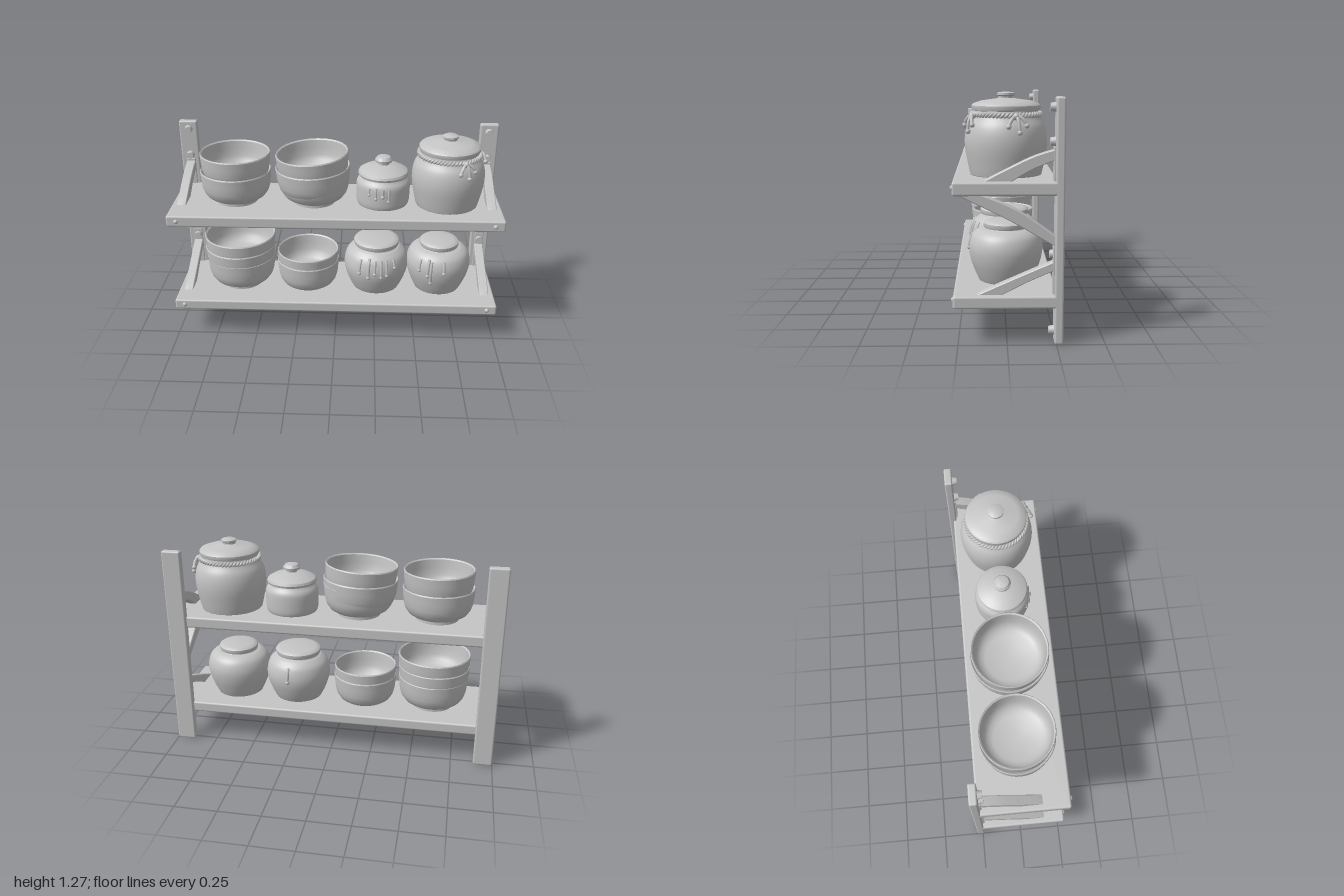
import * as THREE from 'three';
import { toCreasedNormals } from 'three/addons/utils/BufferGeometryUtils.js';
import { RoundedBoxGeometry } from 'three/addons/geometries/RoundedBoxGeometry.js';

const clay = new THREE.MeshStandardMaterial({ color: 0xc4c4c4 });
clay.name = 'plain grey';
const V2 = (p) => new THREE.Vector2(p[0], p[1]);

function add(parent, name, geometry, x = 0, y = 0, z = 0) {
  const mesh = new THREE.Mesh(geometry, clay);
  mesh.name = name;
  mesh.position.set(x, y, z);
  parent.add(mesh);
  return mesh;
}

function lathe(points, segments = 56) {
  return toCreasedNormals(new THREE.LatheGeometry(points.map(V2), segments), 0.6);
}

function box(w, h, d, r) {
  return new RoundedBoxGeometry(w, h, d, 3, r);
}

// Open bowl with a foot ring; the origin is under the foot
const bowlGeometry = lathe([
  [0, 0.01], [0.115, 0.01], [0.118, 0], [0.13, 0], [0.13, 0.022], [0.155, 0.03], [0.178, 0.045],
  [0.197, 0.072], [0.207, 0.105], [0.212, 0.15], [0.216, 0.198], [0.212, 0.205], [0.204, 0.198],
  [0.2, 0.15], [0.194, 0.105], [0.183, 0.075], [0.162, 0.053], [0.135, 0.042], [0, 0.04],
]);

// Bowls nested in one another: each entry is [lift, scale, tilt]
function bowlStack(parent, name, x, y, bowls) {
  const stack = new THREE.Group();
  stack.name = name;
  stack.position.set(x, y, 0);
  bowls.forEach(([lift, scale, tilt]) => {
    const bowl = add(stack, 'bowl', bowlGeometry, 0, lift, 0);
    bowl.scale.set(scale, 1, scale);
    bowl.rotation.z = tilt;
    bowl.rotation.x = tilt * 0.4;
  });
  parent.add(stack);
}

// Radius of a profile at a given height
function radiusAt(profile, y) {
  for (let i = 1; i < profile.length; i++) {
    const a = profile[i - 1], b = profile[i];
    if (y <= b.y) return a.x + (b.x - a.x) * (y - a.y) / Math.max(b.y - a.y, 1e-4);
  }
  return profile[profile.length - 1].x;
}

// Jar: smooth body, lid profile, and glaze drips [angle, top, bottom, radius]
function jar(parent, name, x, y, bodyPoints, lidPoints, drips = []) {
  const group = new THREE.Group();
  group.name = name;
  group.position.set(x, y, 0);
  const profile = new THREE.SplineCurve(bodyPoints.map(V2)).getPoints(28);
  add(group, 'jarBody', new THREE.LatheGeometry([new THREE.Vector2(0, 0), ...profile], 56));
  add(group, 'jarLid', lathe(lidPoints));
  drips.forEach(([angle, top, bottom, r]) => {
    const path = [];
    for (let i = 0; i <= 4; i++) {
      const h = top + (bottom - top) * i / 4, d = radiusAt(profile, h);
      path.push(new THREE.Vector3(d * Math.sin(angle), h, d * Math.cos(angle)));
    }
    add(group, 'glazeDrip', new THREE.TubeGeometry(new THREE.CatmullRomCurve3(path), 10, r * 0.8, 8));
    const end = path[4];
    add(group, 'glazeDrop', new THREE.SphereGeometry(r * 1.15, 12, 8), end.x, end.y, end.z);
  });
  parent.add(group);
  return group;
}

// Two twisted strands around the neck, with hanging knots
function ropeCollar(group, radius, y, knots) {
  for (const phase of [0, Math.PI]) {
    const points = [];
    for (let i = 0; i < 280; i++) {
      const a = i / 280 * Math.PI * 2, t = a * 28 + phase, r = radius + 0.007 * Math.cos(t);
      points.push(new THREE.Vector3(r * Math.sin(a), y + 0.007 * Math.sin(t), r * Math.cos(a)));
    }
    const curve = new THREE.CatmullRomCurve3(points, true);
    add(group, 'ropeStrand', new THREE.TubeGeometry(curve, 560, 0.0085, 6, true));
  }
  knots.forEach((angle) => {
    const knot = new THREE.Group();
    knot.name = 'ropeKnot';
    knot.rotation.y = angle;
    add(knot, 'knotBall', new THREE.SphereGeometry(0.018, 14, 10), 0, y - 0.006, radius + 0.012);
    for (const [sx, drop, out] of [[-0.045, 0.055, 0.035], [0.012, 0.085, 0.042], [0.05, 0.05, 0.035]]) {
      const curve = new THREE.QuadraticBezierCurve3(
        new THREE.Vector3(0, y, radius + 0.01),
        new THREE.Vector3(sx * 0.7, y - drop * 0.2, radius + out),
        new THREE.Vector3(sx, y - drop, radius + out));
      add(knot, 'ropeTail', new THREE.TubeGeometry(curve, 12, 0.009, 8));
      add(knot, 'ropeTip', new THREE.SphereGeometry(0.014, 10, 8), sx, y - drop, radius + out);
    }
    group.add(knot);
  });
}

// Curved strap in the side plane: two edges of three [z, y] points each
function strapGeometry(upper, lower, width) {
  const top = new THREE.SplineCurve(upper.map(V2)).getPoints(12);
  const bottom = new THREE.SplineCurve(lower.map(V2)).getPoints(12).reverse();
  const geometry = new THREE.ExtrudeGeometry(new THREE.Shape([...top, ...bottom]), {
    depth: width, bevelEnabled: true, bevelSize: 0.004, bevelThickness: 0.004, bevelSegments: 1,
  });
  geometry.translate(0, 0, -width / 2);
  geometry.rotateY(-Math.PI / 2);
  return toCreasedNormals(geometry, 0.5);
}

export function createModel() {
  const model = new THREE.Group();
  model.name = 'wallShelf';

  // Shelf boards
  add(model, 'lowerShelf', box(2, 0.066, 0.535, 0.012), 0, 0.222, 0.0075);
  add(model, 'upperShelf', box(2, 0.07, 0.535, 0.012), 0, 0.8, 0.0075);

  // Posts, braces and bolts on both sides
  const braces = [
    strapGeometry([[0.12, 0.83], [-0.11, 0.945], [-0.245, 0.99]], [[-0.01, 0.83], [-0.12, 0.895], [-0.245, 0.945]], 0.047),
    strapGeometry([[0.155, 0.25], [-0.06, 0.345], [-0.245, 0.425]], [[0.04, 0.25], [-0.1, 0.322], [-0.245, 0.385]], 0.047),
    strapGeometry([[0.15, 0.77], [-0.05, 0.685], [-0.245, 0.55]], [[0.24, 0.765], [-0.013, 0.64], [-0.245, 0.505]], 0.047),
  ];
  const bolt = new THREE.CylinderGeometry(0.02, 0.025, 0.03, 20).rotateX(Math.PI / 2);
  const stud = new THREE.SphereGeometry(0.015, 14, 10);
  for (const side of [-1, 1]) {
    const x = side * 0.94;
    add(model, 'post', box(0.114, 1.25, 0.045, 0.01), side * 0.943, 0.625, -0.2625);
    braces.forEach((geometry) => add(model, 'brace', geometry, x, 0, 0));
    add(model, 'lowerMountPlate', box(0.056, 0.26, 0.012, 0.004), x, 0.375, -0.237);
    add(model, 'upperMountPlate', box(0.056, 0.18, 0.012, 0.004), x, 0.915, -0.237);
    for (const y of [0.06, 0.46, 1.03, 1.2]) add(model, 'bolt', bolt, x, y, -0.228);
    for (const y of [0.224, 0.8]) add(model, 'shelfStud', stud, x, y, 0.272);
  }

  // Bowls
  const low = 0.253, high = 0.833;
  bowlStack(model, 'upperLeftBowls', -0.613, high, [[0, 1, 0], [0.108, 0.98, -0.01]]);
  bowlStack(model, 'upperMiddleBowls', -0.135, high, [[0, 1.01, 0], [0.03, 1.05, 0.04], [0.115, 1.02, 0.06]]);
  bowlStack(model, 'lowerLeftBowls', -0.61, low, [[0, 1, 0], [0.07, 1.02, 0.01], [0.145, 1.03, 0]]);
  bowlStack(model, 'lowerMiddleBowls', -0.18, low, [[-0.022, 0.91, 0], [0.04, 0.9, 0]]);

  // Large lidded jar with rope
  const large = jar(model, 'largeJar', 0.675, high,
    [[0.188, 0], [0.2, 0.05], [0.216, 0.14], [0.217, 0.205], [0.205, 0.26], [0.18, 0.305], [0.17, 0.345]],
    [[0.16, 0.335], [0.178, 0.34], [0.182, 0.35], [0.182, 0.365], [0.174, 0.375], [0.13, 0.39],
      [0.05, 0.401], [0.04, 0.404], [0.04, 0.412], [0.047, 0.418], [0.047, 0.428], [0.036, 0.434], [0, 0.435]]);
  ropeCollar(large, 0.18, 0.32, [0.42, 1.82]);

  // Small lidded jar
  jar(model, 'smallJar', 0.285, high,
    [[0.153, 0], [0.161, 0.03], [0.163, 0.11], [0.158, 0.145], [0.14, 0.172], [0.132, 0.19]],
    [[0.13, 0.178], [0.148, 0.182], [0.152, 0.195], [0.146, 0.208], [0.11, 0.228], [0.06, 0.24],
      [0.032, 0.245], [0.032, 0.254], [0.05, 0.262], [0.052, 0.275], [0.04, 0.292], [0.018, 0.298], [0, 0.299]],
    [[-0.55, 0.14, 0.1, 0.009], [-0.28, 0.145, 0.08, 0.009], [-0.03, 0.14, 0.095, 0.011], [0.2, 0.14, 0.065, 0.009]]);

  // Wide jars on the lower shelf
  const flatLid = (r, y) => [[r - 0.02, y - 0.025], [r - 0.004, y - 0.022], [r, y - 0.012], [r, y + 0.004],
    [r - 0.008, y + 0.012], [r - 0.03, y + 0.017], [0, y + 0.024]];
  jar(model, 'lowerInnerJar', 0.255, low,
    [[0.148, 0], [0.172, 0.05], [0.196, 0.12], [0.201, 0.18], [0.185, 0.24], [0.15, 0.275], [0.132, 0.285], [0.13, 0.31]],
    flatLid(0.142, 0.314),
    [[-0.55, 0.25, 0.16, 0.011], [-0.25, 0.26, 0.14, 0.012], [-0.05, 0.25, 0.17, 0.01],
      [0.15, 0.25, 0.145, 0.01], [0.33, 0.25, 0.155, 0.01], [0.6, 0.25, 0.2, 0.01], [3.0, 0.25, 0.16, 0.012]]);
  jar(model, 'lowerOuterJar', 0.65, low,
    [[0.145, 0], [0.168, 0.05], [0.192, 0.12], [0.2, 0.19], [0.182, 0.25], [0.145, 0.28], [0.118, 0.288], [0.115, 0.31]],
    flatLid(0.122, 0.311),
    [[-0.7, 0.25, 0.18, 0.011], [-0.4, 0.26, 0.155, 0.012], [-0.3, 0.25, 0.105, 0.011], [0.1, 0.25, 0.18, 0.01]]);

  return model;
}
